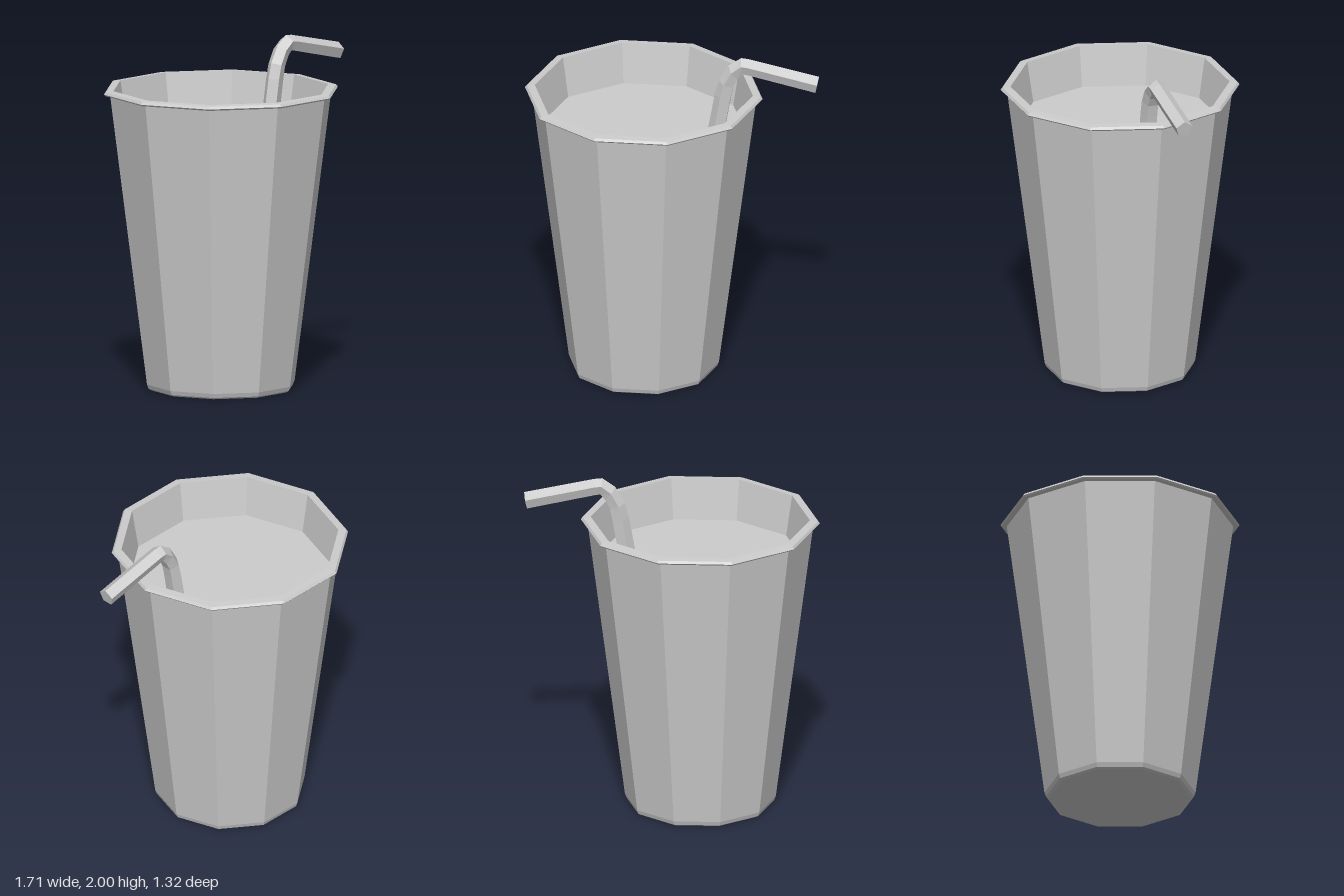
import * as THREE from 'three';

const SIDES = 10;
const CUP_X = -0.167;

function addPart(parent, name, geometry) {
  const material = new THREE.MeshStandardMaterial({ color: 0xcccccc, flatShading: true });
  const mesh = new THREE.Mesh(geometry, material);
  mesh.name = name;
  parent.add(mesh);
  return mesh;
}

// Ten-sided ring of faces with a corner on the x axis
function lathe(profile) {
  const points = profile.map(([r, y]) => new THREE.Vector2(r, y));
  return new THREE.LatheGeometry(points, SIDES, Math.PI / 2);
}

// Five-sided bent tube; each station holds its outer ridge and inner flat as [ox, oy, ix, iy]
function strawGeometry(stations) {
  const positions = [];
  const index = [];
  const section = [[0, 0], [0.382, 0.05], [1, 0.031], [1, -0.031], [0.382, -0.05]];
  const n = section.length;
  for (const [ox, oy, ix, iy] of stations) {
    for (const [t, z] of section) {
      positions.push(ox + (ix - ox) * t, oy + (iy - oy) * t, z);
    }
  }
  for (let s = 0; s < stations.length - 1; s++) {
    for (let k = 0; k < n; k++) {
      const a = s * n + k;
      const b = s * n + (k + 1) % n;
      index.push(a, b, a + n, b, b + n, a + n);
    }
  }
  // End caps
  const last = (stations.length - 1) * n;
  for (let k = 1; k < n - 1; k++) {
    index.push(0, k + 1, k, last, last + k, last + k + 1);
  }
  const geometry = new THREE.BufferGeometry();
  geometry.setAttribute('position', new THREE.Float32BufferAttribute(positions, 3));
  geometry.setIndex(index);
  geometry.computeVertexNormals();
  return geometry;
}

export function createModel() {
  const model = new THREE.Group();
  model.name = 'drinkCup';

  const cup = new THREE.Group();
  cup.name = 'cup';
  cup.position.x = CUP_X;
  model.add(cup);

  // Tapered wall with a bevelled foot and closed base
  addPart(cup, 'cupBody', lathe([[0, 0], [0.41, 0], [0.428, 0.01], [0.437, 0.035], [0.655, 1.735]]));

  // Rolled lip
  addPart(cup, 'rim', lathe([[0.65, 1.733], [0.684, 1.733], [0.692, 1.742], [0.682, 1.756], [0.635, 1.76]]));

  // Inside wall down to the drink
  addPart(cup, 'innerWall', lathe([[0.635, 1.76], [0.594, 1.52]]));

  // Drink surface
  const drink = addPart(cup, 'drink', new THREE.CircleGeometry(0.594, SIDES));
  drink.rotation.x = -Math.PI / 2;
  drink.position.y = 1.52;

  // Bent straw rising from the drink and leaning over the rim
  addPart(model, 'straw', strawGeometry([
    [0.2, 1.5, 0.295, 1.485],
    [0.246, 1.76, 0.34, 1.75],
    [0.27, 1.85, 0.354, 1.82],
    [0.325, 1.947, 0.38, 1.875],
    [0.4, 2.0, 0.41, 1.91],
    [0.447, 1.995, 0.432, 1.908],
    [0.853, 1.905, 0.835, 1.815],
  ]));

  return model;
}
